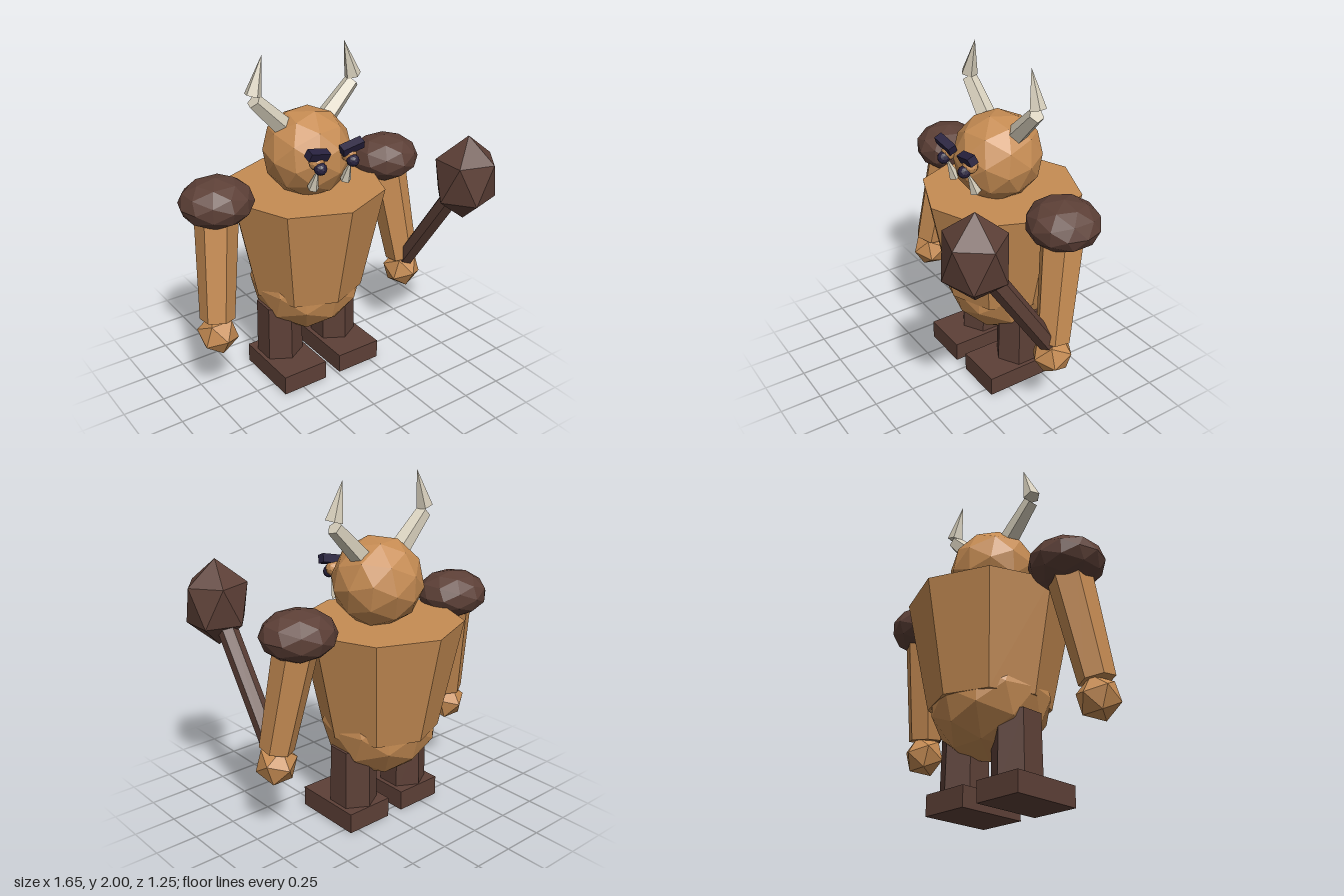
import * as THREE from 'three';

const mat = (name, color) => {
  const m = new THREE.MeshStandardMaterial({ color, flatShading: true });
  m.name = name;
  return m;
};

export function createModel() {
  const skin = mat('tan skin', 0xc68c53);
  const brown = mat('dark brown', 0x5d4037);
  const bone = mat('pale bone', 0xd7cfbc);
  const navy = mat('dark navy', 0x28223f);
  const root = new THREE.Group();
  const MID = -0.035; // body mirror plane
  const Z = -0.163; // body depth centre

  const add = (name, geo, material, x, y, z) => {
    const m = new THREE.Mesh(geo, material);
    m.name = name;
    m.position.set(x, y, z);
    root.add(m);
    return m;
  };

  // Tapered prism running from point a to point b
  const limb = (name, material, a, b, ra, rb, sides) => {
    const A = new THREE.Vector3(...a), B = new THREE.Vector3(...b);
    const dir = B.clone().sub(A);
    const c = A.clone().add(B).multiplyScalar(0.5);
    const m = add(name, new THREE.CylinderGeometry(rb, ra, dir.length(), sides), material, c.x, c.y, c.z);
    m.quaternion.setFromUnitVectors(new THREE.Vector3(0, 1, 0), dir.normalize());
    return m;
  };

  // Faceted ball stretched on each axis
  const ball = (rx, ry, rz, detail) => new THREE.IcosahedronGeometry(1, detail).scale(rx, ry, rz);
  const TILT = Math.atan(2 / (1 + Math.sqrt(5))); // stands an icosahedron on a corner

  // Trunk and head
  add('torso', new THREE.CylinderGeometry(0.472, 0.34, 0.64, 8), skin, MID, 0.87, Z);
  add('belly', ball(0.345, 0.33, 0.33, 1), skin, MID, 0.59, Z);
  add('head', ball(0.26, 0.26, 0.265, 1).rotateX(0.25).rotateY(0.2), skin, MID, 1.405, -0.135);

  for (const s of [-1, 1]) {
    const side = s > 0 ? 'left' : 'right';
    const X = (d) => MID + s * d;

    // Horns
    limb(side + 'HornBase', bone, [X(0.14), 1.57, -0.157], [X(0.325), 1.757, -0.157], 0.06, 0.045, 5);
    limb(side + 'HornTip', bone, [X(0.33), 1.787, -0.157], [X(0.267), 2.0, -0.157], 0.05, 0, 5);

    // Face
    add(side + 'EyeSocket', ball(0.045, 0.045, 0.045, 1), skin, X(0.108), 1.445, 0.12);
    add(side + 'Eye', ball(0.037, 0.037, 0.037, 1), navy, X(0.108), 1.42, 0.157);
    const brow = add(side + 'Brow', new THREE.BoxGeometry(0.135, 0.05, 0.05), navy, X(0.113), 1.495, 0.138);
    brow.rotation.set(0.4, 0, s * 0.24);
    limb(side + 'Tusk', bone, [X(0.11), 1.28, 0.085], [X(0.11), 1.42, 0.14], 0.034, 0, 5);

    // Shoulder, arm and fist
    add(side + 'Shoulder', ball(0.215, 0.14, 0.205, 1), brown, X(0.58), 1.23, Z);
    limb(side + 'Arm', skin, [X(0.67), 0.56, -0.06], [X(0.585), 1.2, -0.16], 0.1, 0.126, 6);
    add(side + 'Fist', ball(0.122, 0.122, 0.122, 0).rotateX(TILT), skin, X(0.673), 0.465, -0.058);

    // Leg and foot
    limb(side + 'Leg', brown, [X(0.2), 0.05, -0.16], [X(0.197), 0.47, -0.16], 0.14, 0.135, 6);
    add(side + 'Foot', new THREE.BoxGeometry(0.292, 0.12, 0.43), brown, X(0.198), 0.06, -0.088);
  }

  // Mace held in the left fist
  limb('maceHandle', brown, [0.64, 0.56, -0.02], [0.64, 1.22, 0.42], 0.058, 0.058, 6);
  const maceGeo = new THREE.IcosahedronGeometry(1, 0).rotateZ(-TILT).scale(0.2, 0.253, 0.19);
  add('maceHead', maceGeo, brown, 0.645, 1.282, 0.457);

  return root;
}
